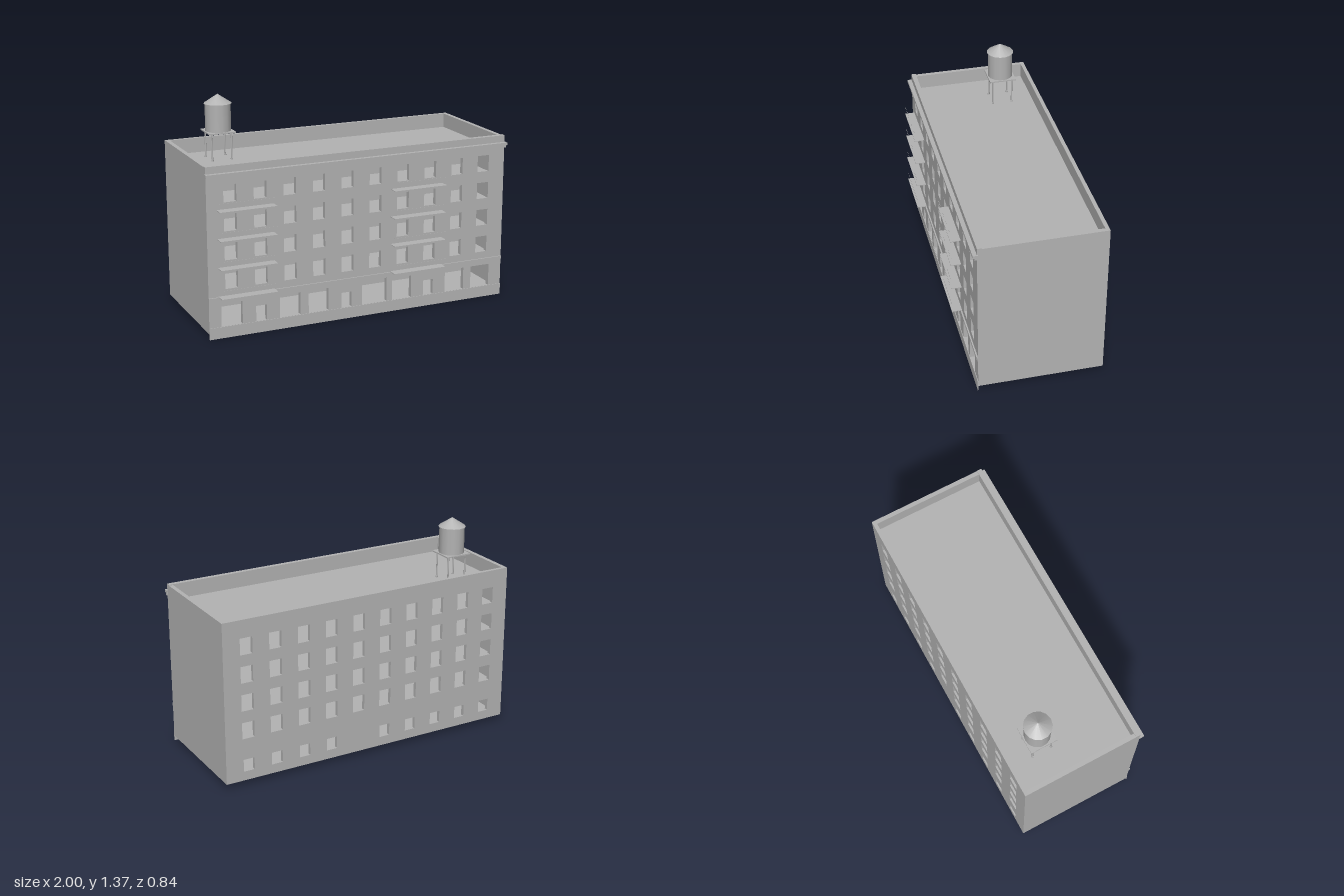
import * as THREE from 'three';

export function createModel() {
  const model = new THREE.Group();
  model.name = 'apartmentBuilding';
  const grey = new THREE.MeshStandardMaterial({ color: 0xb2b2b2 });
  grey.name = 'plain grey';

  const add = (name, geometry, parent = model) => {
    const mesh = new THREE.Mesh(geometry, grey);
    mesh.name = name;
    parent.add(mesh);
    return mesh;
  };
  // Box given by its limits on each axis
  const block = (name, x0, x1, y0, y1, z0, z1, parent = model) => {
    const mesh = add(name, new THREE.BoxGeometry(x1 - x0, y1 - y0, z1 - z0), parent);
    mesh.position.set((x0 + x1) / 2, (y0 + y1) / 2, (z0 + z1) / 2);
    return mesh;
  };

  const W = 0.994, IN = 0.967;          // outer and inner half width
  const FRONT = 0.357, BACK = -0.416;   // outer wall faces
  const FRONT_IN = 0.327, BACK_IN = -0.392;
  const BOTTOM = 0.034, TOP = 1.052;
  const columns = Array.from({ length: 10 }, (_, i) => -0.848 + 0.188 * i);
  const storeys = [0.262, 0.44, 0.617, 0.793];

  // Wall with rectangular openings [x0, x1, y0, y1]
  const piercedWall = (name, top, openings, z0, z1) => {
    const shape = new THREE.Shape([[-W, BOTTOM], [W, BOTTOM], [W, top], [-W, top]]
      .map(([x, y]) => new THREE.Vector2(x, y)));
    for (const [x0, x1, y0, y1] of openings) {
      shape.holes.push(new THREE.Path([[x0, y0], [x0, y1], [x1, y1], [x1, y0]]
        .map(([x, y]) => new THREE.Vector2(x, y))));
    }
    const geometry = new THREE.ExtrudeGeometry(shape, { depth: z1 - z0, bevelEnabled: false });
    add(name, geometry).position.z = z0;
  };

  // Window openings of the upper storeys, shared by front and back
  const upper = [];
  for (const y of storeys) {
    for (const x of columns) upper.push([x - 0.04, x + 0.04, y + 0.043, y + 0.147]);
  }
  // Shop fronts, entrance and small windows at street level
  const shops = [
    [-0.917, -0.783, 0.215], [-0.697, -0.628, 0.17], [-0.543, -0.409, 0.215],
    [-0.355, -0.222, 0.215], [-0.136, -0.067, 0.17], [0.003, 0.174, 0.225],
    [0.211, 0.345, 0.215], [0.43, 0.5, 0.17], [0.586, 0.72, 0.215], [0.773, 0.906, 0.215],
  ].map(([x0, x1, y1]) => [x0, x1, 0.072, y1]);
  // Small ground-floor windows at the back, with one bay left blank
  const rear = columns.filter((_, i) => i !== 5)
    .map((x) => [x - 0.036, x + 0.036, 0.092, 0.17]);

  piercedWall('frontWall', 1.057, [...upper, ...shops], FRONT_IN, FRONT);
  piercedWall('backWall', TOP, [...upper, ...rear], BACK, BACK_IN);
  for (const s of [-1, 1]) {
    block(s > 0 ? 'leftWall' : 'rightWall', s > 0 ? IN : -W, s > 0 ? W : -IN,
      BOTTOM, TOP, BACK_IN, FRONT_IN);
  }

  // Floors, middle partition and roof inside the shell
  block('baseSlab', -IN, IN, 0.02, 0.05, BACK_IN, FRONT_IN);
  for (const y of storeys) block('floorSlab', -IN, IN, y - 0.015, y, BACK_IN, FRONT_IN);
  block('roofDeck', -IN, IN, 0.945, 0.96, BACK_IN, FRONT_IN);
  block('corePartition', -IN, IN, 0.05, 0.945, -0.04, -0.025);

  // Mouldings along the front
  block('plinth', -W, W, 0, 0.071, FRONT, FRONT + 0.004);
  block('streetBandTop', -W, W, 0.244, 0.26, FRONT, FRONT + 0.009);
  block('streetBandLower', -W, W, 0.228, 0.244, FRONT, FRONT + 0.004);
  block('corniceTop', -1, 1, 0.997, 1.014, FRONT - 0.005, 0.383);
  block('corniceLower', -0.998, 0.998, 0.981, 0.997, FRONT - 0.005, 0.372);

  // Two stacks of balconies with a hair-thin rail
  for (const [x0, x1] of [[-0.932, -0.576], [0.196, 0.553]]) {
    for (const y of storeys) {
      const balcony = new THREE.Group();
      balcony.name = 'balcony';
      model.add(balcony);
      block('balconyPlate', x0, x1, y - 0.002, y + 0.002, FRONT, 0.42, balcony);
      block('balconyRail', x0, x1, y + 0.052, y + 0.0535, 0.4165, 0.418, balcony);
    }
  }

  // Water tank on four legs
  const tank = new THREE.Group();
  tank.name = 'waterTank';
  tank.position.set(-0.72, 0, -0.188);
  model.add(tank);
  const round = (name, r0, r1, y0, y1, sides, x = 0, z = 0) => {
    add(name, new THREE.CylinderGeometry(r1, r0, y1 - y0, sides), tank)
      .position.set(x, (y0 + y1) / 2, z);
  };
  for (const x of [-0.063, 0.063]) {
    for (const z of [-0.063, 0.063]) {
      round('tankLeg', 0.005, 0.005, 0.96, 1.13, 8, x, z);
      round('tankFoot', 0.008, 0.008, 0.96, 0.97, 8, x, z);
    }
  }
  block('tankPlatform', -0.086, 0.086, 1.129, 1.137, -0.086, 0.086, tank);
  round('tankBarrel', 0.08, 0.08, 1.137, 1.306, 14);
  round('tankEave', 0.086, 0.086, 1.304, 1.308, 14);
  add('tankRoof', new THREE.ConeGeometry(0.086, 0.057, 14), tank).position.y = 1.3365;

  return model;
}
